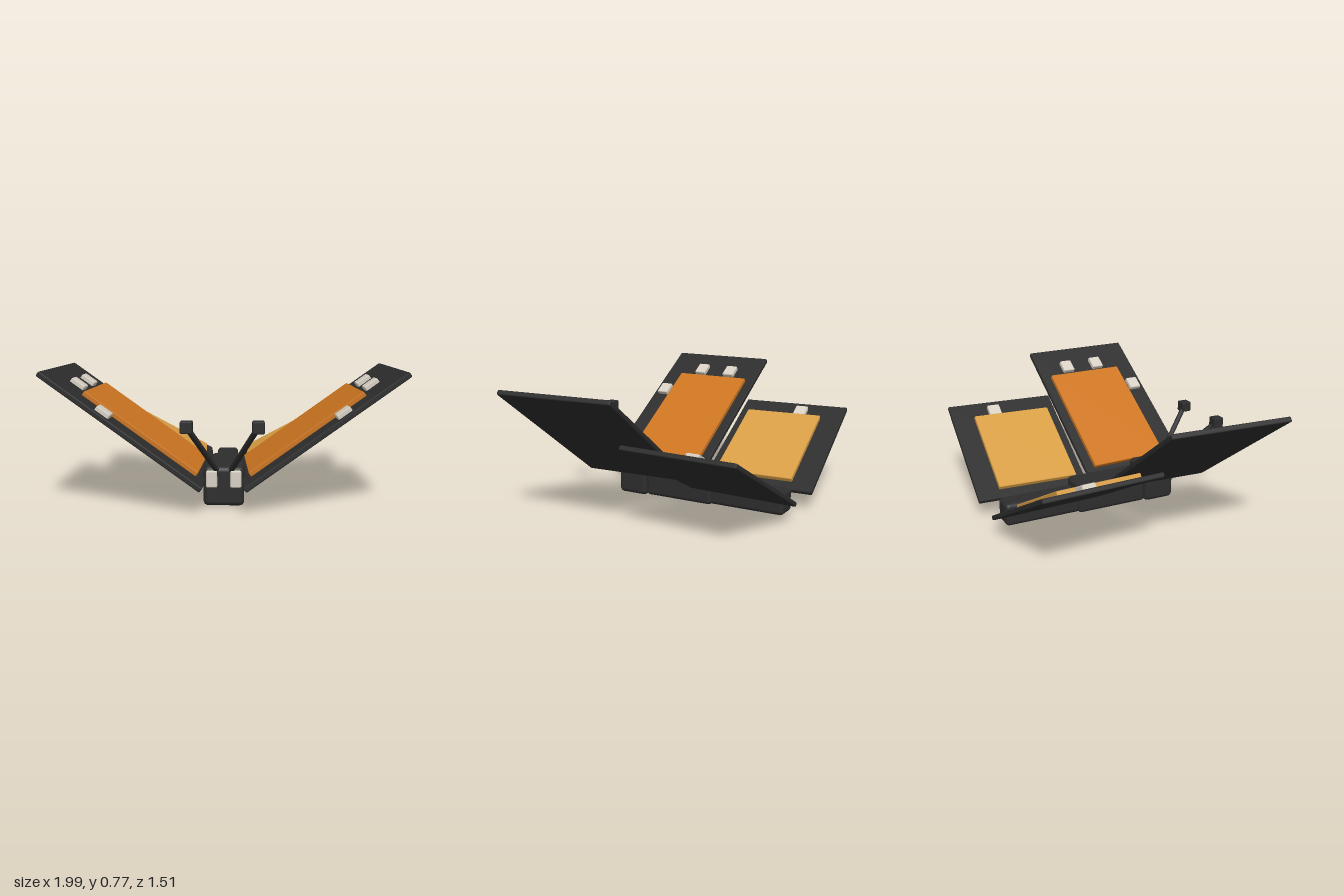
import * as THREE from 'three';
import { RoundedBoxGeometry } from 'three/addons/geometries/RoundedBoxGeometry.js';

const mat = (name, color) => {
  const m = new THREE.MeshStandardMaterial({ color });
  m.name = name;
  return m;
};

export function createModel() {
  const model = new THREE.Group();
  model.name = 'butterfly';
  const charcoal = mat('charcoal', 0x2d2d2d);
  const orange = mat('orange', 0xcc7520);
  const amber = mat('amber', 0xd79d44);
  const pale = mat('pale spots', 0xd8d0c4);

  // Softly bevelled block centred at (x, y, z)
  const block = (parent, name, material, [w, h, d], [x, y, z], r, seg = 2) => {
    const mesh = new THREE.Mesh(new RoundedBoxGeometry(w, h, d, seg, r), material);
    mesh.name = name;
    mesh.position.set(x, y, z);
    parent.add(mesh);
    return mesh;
  };

  // Body: three blocks in a row
  block(model, 'head', charcoal, [0.23, 0.225, 0.2], [0, 0.117, 0.362], 0.028, 3);
  block(model, 'thorax', charcoal, [0.19, 0.185, 0.46], [0, 0.098, 0.04], 0.025, 3);
  block(model, 'abdomen', charcoal, [0.14, 0.14, 0.49], [0, 0.075, -0.405], 0.025, 3);

  // Wing layout in each wing's own plane: [across, along] positions
  const wings = [
    {
      name: 'frontWing', size: [1.07, 0.03, 0.715], pos: [0.535, 0.455, 0.2975],
      yaw: 0.05, roll: 0.62, panelMat: orange, panel: [0.77, 0.52], panelAt: [-0.089, -0.037],
      spots: [[0.365, -0.144], [0.364, 0.082], [0.136, 0.283]],
    },
    {
      name: 'hindWing', size: [0.81, 0.028, 0.705], pos: [0.455, 0.3025, -0.385],
      yaw: -0.05, roll: 0.5, panelMat: amber, panel: [0.61, 0.505], panelAt: [-0.038, 0.041],
      spots: [[0.307, -0.063]],
    },
  ];

  for (const s of [1, -1]) {
    const side = s > 0 ? 'left' : 'right';

    // Wings with raised panels and spots
    for (const w of wings) {
      const g = new THREE.Group();
      g.name = `${w.name} ${side}`;
      g.position.set(s * w.pos[0], w.pos[1], w.pos[2]);
      g.rotation.set(0, s * w.yaw, s * w.roll, 'YXZ');
      block(g, 'wingPlate', charcoal, w.size, [0, 0, 0], 0.007, 1);
      block(g, 'wingPanel', w.panelMat, [w.panel[0], 0.03, w.panel[1]],
        [s * w.panelAt[0], 0.027, w.panelAt[1]], 0.006, 1);
      for (const [u, v] of w.spots) {
        block(g, 'wingSpot', pale, [0.09, 0.036, 0.082], [s * u, 0.023, v], 0.008, 1);
      }
      model.add(g);
    }

    // Eyes
    block(model, `eye ${side}`, pale, [0.063, 0.095, 0.05], [s * 0.068, 0.162, 0.456], 0.008, 1);

    // Antenna: slanted rod with a cube tip
    const from = new THREE.Vector3(s * 0.035, 0.2, 0.44);
    const to = new THREE.Vector3(s * 0.188, 0.495, 0.72);
    const dir = to.clone().sub(from);
    const rod = new THREE.Mesh(new THREE.CylinderGeometry(0.016, 0.016, dir.length(), 10), charcoal);
    rod.name = `antenna ${side}`;
    rod.position.copy(from).lerp(to, 0.5);
    rod.quaternion.setFromUnitVectors(new THREE.Vector3(0, 1, 0), dir.normalize());
    model.add(rod);
    block(model, `antennaTip ${side}`, charcoal, [0.065, 0.065, 0.065], to.toArray(), 0.007, 1);
  }
  return model;
}
